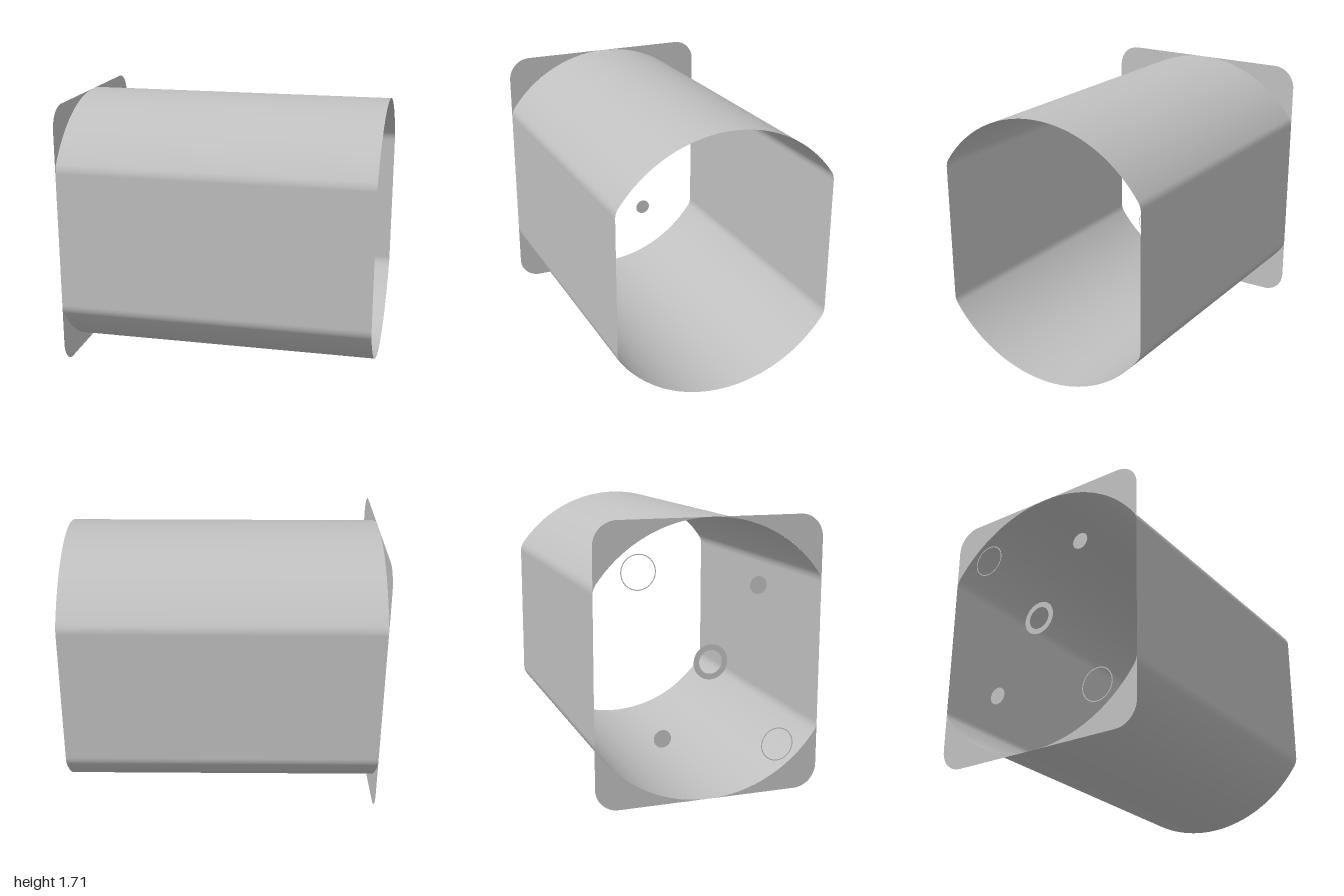
import * as THREE from 'three';

const W = 0.716;         // half width (z)
const H = 0.857;         // half height (y), also radius of the top and bottom arcs
const FILLET = 0.1;      // blend between side wall and arc
const CORNER = 0.145;    // rounded corner of the flange
const FZ = W - FILLET;
const FY = Math.sqrt((H - FILLET) ** 2 - FZ ** 2);
const A = Math.atan2(FY, FZ);

// Points on an arc in the (z, y) plane, each with its outward normal
function arc(cz, cy, r, a0, a1, n) {
  return Array.from({ length: n + 1 }, (_, i) => {
    const a = a0 + (a1 - a0) * i / n, nz = Math.cos(a), ny = Math.sin(a);
    return { z: cz + r * nz, y: cy + r * ny, nz, ny };
  });
}

// Open sleeve swept along x from a closed flat-sided profile
function sleeveGeometry() {
  const top = [
    ...arc(FZ, FY, FILLET, 0, A, 8),
    ...arc(0, 0, H, A, Math.PI - A, 48).slice(1),
    ...arc(-FZ, FY, FILLET, Math.PI - A, Math.PI, 8).slice(1),
  ];
  const bottom = top.map(p => ({ z: -p.z, y: -p.y, nz: -p.nz, ny: -p.ny }));
  const profile = [...top, ...bottom, top[0]];
  const pos = [], nor = [], idx = [];
  profile.forEach((p, i) => {
    for (const x of [-1, 1]) {
      pos.push(x, p.y, p.z);
      nor.push(0, p.ny, p.nz);
    }
    if (i < profile.length - 1) {
      const k = i * 2;
      idx.push(k, k + 1, k + 2, k + 1, k + 3, k + 2);
    }
  });
  const g = new THREE.BufferGeometry();
  g.setAttribute('position', new THREE.Float32BufferAttribute(pos, 3));
  g.setAttribute('normal', new THREE.Float32BufferAttribute(nor, 3));
  g.setIndex(idx);
  return g;
}

// One flange corner, left between the sleeve outline and a rounded rectangle
function cornerGeometry(sz, sy) {
  const outline = [
    ...arc(FZ, FY, FILLET, 0, A, 8),
    ...arc(0, 0, H, A, Math.PI / 2 - 0.012, 24).slice(1),
    ...arc(W - CORNER, H - CORNER, CORNER, Math.PI / 2, 0, 12),
  ];
  return new THREE.ShapeGeometry(
    new THREE.Shape(outline.map(p => new THREE.Vector2(p.z * sz, p.y * sy))));
}

export function createModel() {
  const group = new THREE.Group();
  const metal = new THREE.MeshStandardMaterial({ color: 0xc0c0c0, side: THREE.DoubleSide });
  metal.name = 'grey metal';

  const sleeve = new THREE.Mesh(sleeveGeometry(), metal);
  sleeve.name = 'sleeve';
  sleeve.position.y = H;
  group.add(sleeve);

  // Flat end pieces, drawn in (z, y) and turned to face -x
  const addFlat = (name, geometry, z = 0, y = 0) => {
    const mesh = new THREE.Mesh(geometry.rotateY(-Math.PI / 2), metal);
    mesh.name = name;
    mesh.position.set(-1, H + y, z);
    group.add(mesh);
  };

  for (const sz of [-1, 1])
    for (const sy of [-1, 1]) addFlat('flangeCorner', cornerGeometry(sz, sy));

  addFlat('centreRing', new THREE.RingGeometry(0.072, 0.107, 48));
  for (const s of [-1, 1]) {
    addFlat('smallDisc', new THREE.CircleGeometry(0.054, 32), 0.3 * s, 0.444 * s);
    addFlat('thinRing', new THREE.RingGeometry(0.1, 0.106, 48), -0.447 * s, 0.557 * s);
  }
  return group;
}
